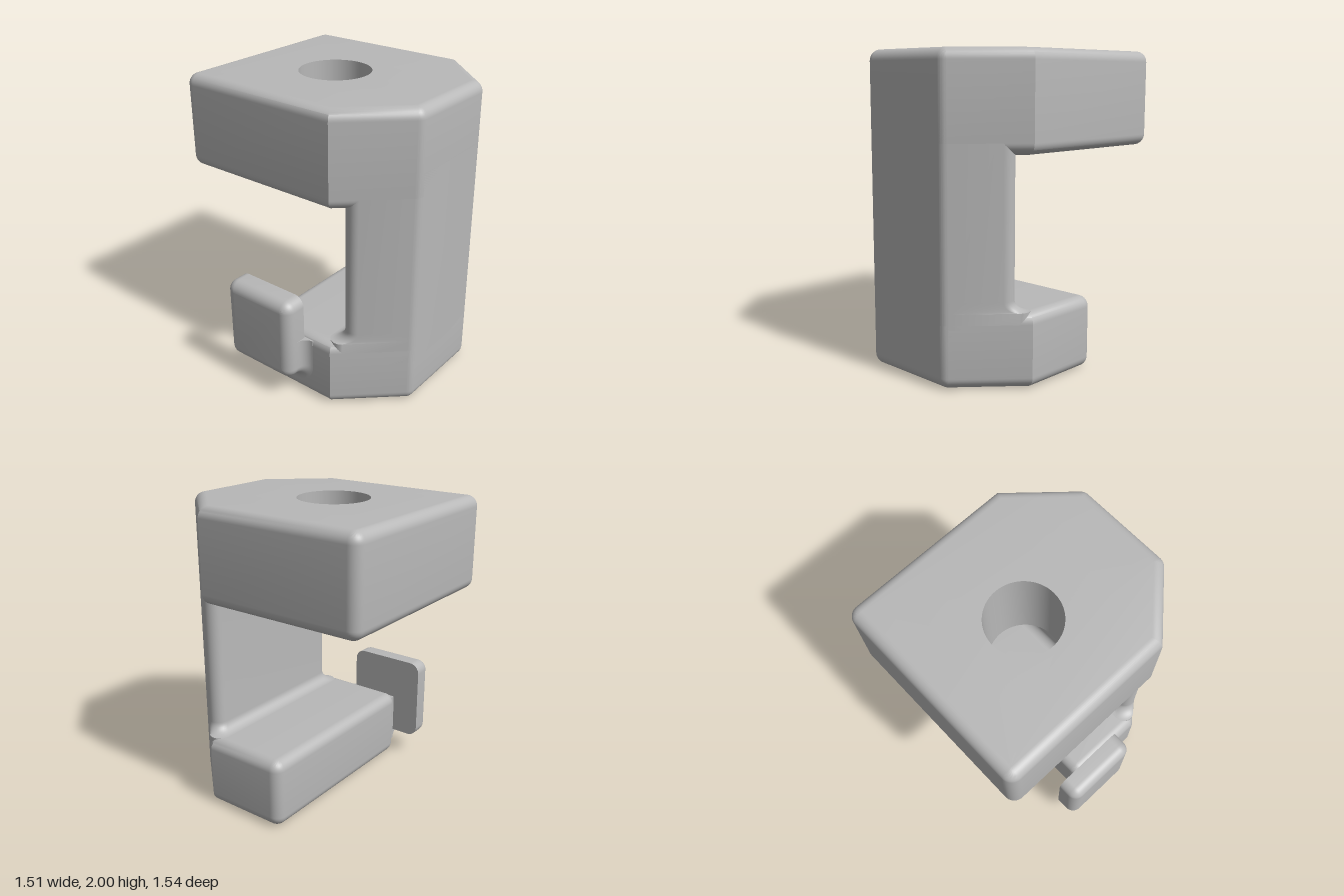
import * as THREE from 'three';
import { toCreasedNormals } from 'three/addons/utils/BufferGeometryUtils.js';

const R = 0.07;      // edge rounding
const STEPS = 10;    // segments per rounding

// Rounded outline of a counter-clockwise polygon [u, v, radius], inset by d
function outline(corners, d = 0) {
  const n = corners.length, pts = [];
  const normal = i => {
    const [u0, v0] = corners[i % n], [u1, v1] = corners[(i + 1) % n];
    return new THREE.Vector2(v1 - v0, u0 - u1).normalize();
  };
  corners.forEach(([u, v, r], i) => {
    const a = normal(i + n - 1), b = normal(i);
    const mitre = a.clone().add(b).divideScalar(1 + a.dot(b));
    const corner = new THREE.Vector2(u, v);
    if (!r) { pts.push(corner.addScaledVector(mitre, -d)); return; }
    const centre = corner.addScaledVector(mitre, -r);
    const start = Math.atan2(a.y, a.x), turn = Math.atan2(a.cross(b), a.dot(b));
    for (let k = 0; k <= STEPS; k++) {
      const t = start + turn * k / STEPS;
      pts.push(new THREE.Vector2(centre.x + Math.cos(t) * (r - d), centre.y + Math.sin(t) * (r - d)));
    }
  });
  return pts;
}

// Skin through levels {w, pts}, capped at both ends; map turns (u, v, w) into x, y, z
function loft(levels, map, hole = null) {
  const pos = [];
  const put = (p, w) => pos.push(...map(p.x, p.y, w));
  for (let j = 0; j + 1 < levels.length; j++) {
    const A = levels[j], B = levels[j + 1], n = A.pts.length;
    for (let i = 0; i < n; i++) {
      const k = (i + 1) % n;
      put(A.pts[i], A.w); put(A.pts[k], A.w); put(B.pts[k], B.w);
      put(A.pts[i], A.w); put(B.pts[k], B.w); put(B.pts[i], B.w);
    }
  }
  for (const [level, order] of [[levels[0], [0, 2, 1]], [levels[levels.length - 1], [0, 1, 2]]]) {
    const holes = hole ? [hole] : [];
    const all = level.pts.concat(...holes);
    for (const f of THREE.ShapeUtils.triangulateShape(level.pts.slice(), holes.map(h => h.slice())))
      for (const o of order) put(all[f[o]], level.w);
  }
  const g = new THREE.BufferGeometry();
  g.setAttribute('position', new THREE.Float32BufferAttribute(pos, 3));
  return toCreasedNormals(g, 0.6);
}

// Levels of a solid with rounded rims at the chosen ends
function rounded(corners, w0, w1, roundStart = true) {
  const levels = [];
  if (!roundStart) levels.push({ w: w0, pts: outline(corners) });
  for (let k = 0; roundStart && k <= STEPS; k++) {
    const t = k / STEPS * Math.PI / 2;
    levels.push({ w: w0 + R * (1 - Math.cos(t)), pts: outline(corners, R * (1 - Math.sin(t))) });
  }
  for (let k = STEPS; k >= 0; k--) {
    const t = k / STEPS * Math.PI / 2;
    levels.push({ w: w1 - R * (1 - Math.cos(t)), pts: outline(corners, R * (1 - Math.sin(t))) });
  }
  return levels;
}

const upward = (u, v, w) => [v, w, u];     // u = z, v = x, w = y
const sideways = (u, v, w) => [-w, v, u];  // u = z, v = y, w = -x
const r = R + 0.001;

export function createModel() {
  const model = new THREE.Group();
  const grey = new THREE.MeshStandardMaterial({ color: 0xb8b8b8 });
  grey.name = 'plain grey';
  const add = (name, geometry) => {
    const mesh = new THREE.Mesh(geometry, grey);
    mesh.name = name;
    model.add(mesh);
    return mesh;
  };

  // Six-sided footprint shared by both jaws, ending at zBack
  const jaw = zBack => [
    [0.77, -0.25, r], [0.77, 0.4, r], [0.38, 0.755, 0],
    [zBack, 0.755, r], [zBack, -0.605, r], [0.38, -0.605, 0],
  ];

  // Upper jaw with a round through hole
  const holeX = 0.032, holeZ = -0.08, holeR = 0.232, sides = 64;
  const hole = [];
  for (let i = 0; i < sides; i++) {
    const t = -i / sides * Math.PI * 2;
    hole.push(new THREE.Vector2(holeZ + Math.cos(t) * holeR, holeX + Math.sin(t) * holeR));
  }
  add('upperJaw', loft(rounded(jaw(-0.77), 1.39, 2), upward, hole));
  const wall = [new THREE.Vector2(holeR, 2), new THREE.Vector2(holeR, 1.39)];
  add('holeWall', new THREE.LatheGeometry(wall, sides)).position.set(holeX, 0, holeZ);

  // Lower jaw
  add('lowerJaw', loft(rounded(jaw(-0.19), 0, 0.465), upward));

  // Front column, flaring backward into the lower jaw
  const column = zBack => {
    const spread = (0.38 - zBack) * 0.355 / 0.39;
    return outline([
      [0.77, -0.25, r], [0.77, 0.4, r],
      [zBack, 0.755 + spread, r], [zBack, -0.605 - spread, r],
    ]);
  };
  const columnLevels = [{ w: 0.3, pts: column(0.32) }];
  for (let k = STEPS; k >= 0; k--) {
    const t = k / STEPS * Math.PI / 2;
    columnLevels.push({ w: 0.535 - R * Math.sin(t), pts: column(0.39 - R * (1 - Math.cos(t))) });
  }
  columnLevels.push({ w: 1.6, pts: column(0.39) });
  add('column', loft(columnLevels, upward));

  // Side tab, rounded on its outer rim only
  const tab = [[-0.37, 0.16, r], [0.17, 0.16, r], [0.17, 0.73, r], [-0.37, 0.73, r]];
  add('sideTab', loft(rounded(tab, 0.605, 0.757, false), sideways));

  // Concave fillet joining the tab to the lower jaw
  const filletLevels = [];
  const flare = d => outline(tab, -d).map(p =>
    new THREE.Vector2(Math.max(p.x, -0.17), Math.min(p.y, 0.43)));
  filletLevels.push({ w: 0.55, pts: flare(R) });
  for (let k = STEPS; k >= 0; k--) {
    const t = k / STEPS * Math.PI / 2;
    filletLevels.push({ w: 0.605 + R * (1 - Math.sin(t)), pts: flare(R * (1 - Math.cos(t))) });
  }
  add('tabFillet', loft(filletLevels, sideways));

  return model;
}
